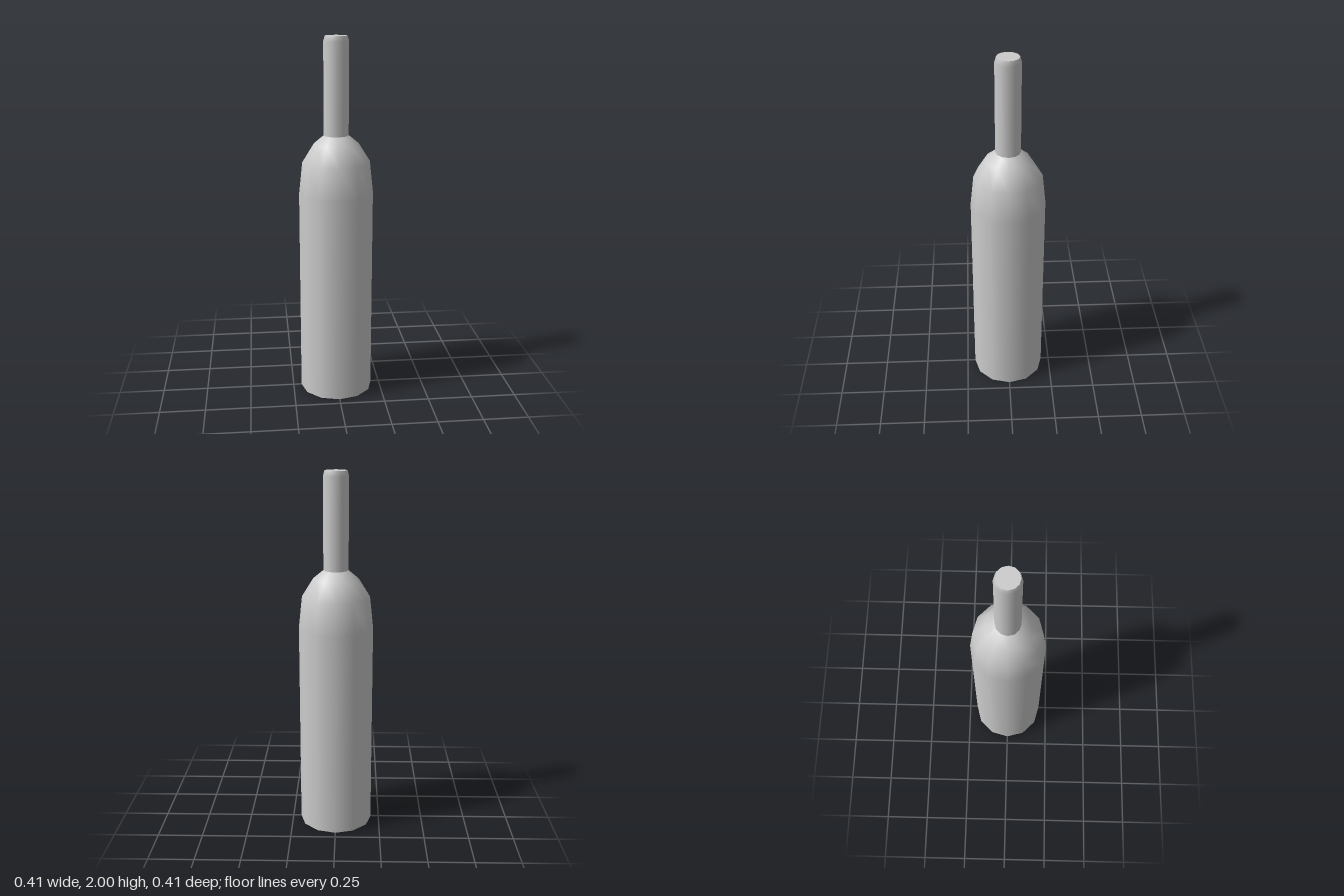
import * as THREE from 'three';

const SIDES = 12;

export function createModel() {
  const model = new THREE.Group();
  model.name = 'bottle';
  const material = new THREE.MeshStandardMaterial({ color: 0xcccccc });

  // Turns a [radius, height] profile; separate parts keep the edges between them sharp
  const turn = (name, profile) => {
    const points = profile.map(([r, y]) => new THREE.Vector2(r, y));
    const mesh = new THREE.Mesh(new THREE.LatheGeometry(points, SIDES), material);
    mesh.name = name;
    model.add(mesh);
  };

  // Flat underside
  turn('base', [[0, 0], [0.204, 0]]);

  // Straight wall running smoothly into the rounded shoulder
  turn('body', [[0.204, 0], [0.204, 1.155], [0.185, 1.33], [0.123, 1.43], [0.068, 1.475]]);

  // Slim neck with a small bevel at the rim
  turn('neck', [[0.068, 1.475], [0.068, 1.972], [0.06, 2]]);

  // Flat closed top
  turn('neckTop', [[0.06, 2], [0, 2]]);

  return model;
}
